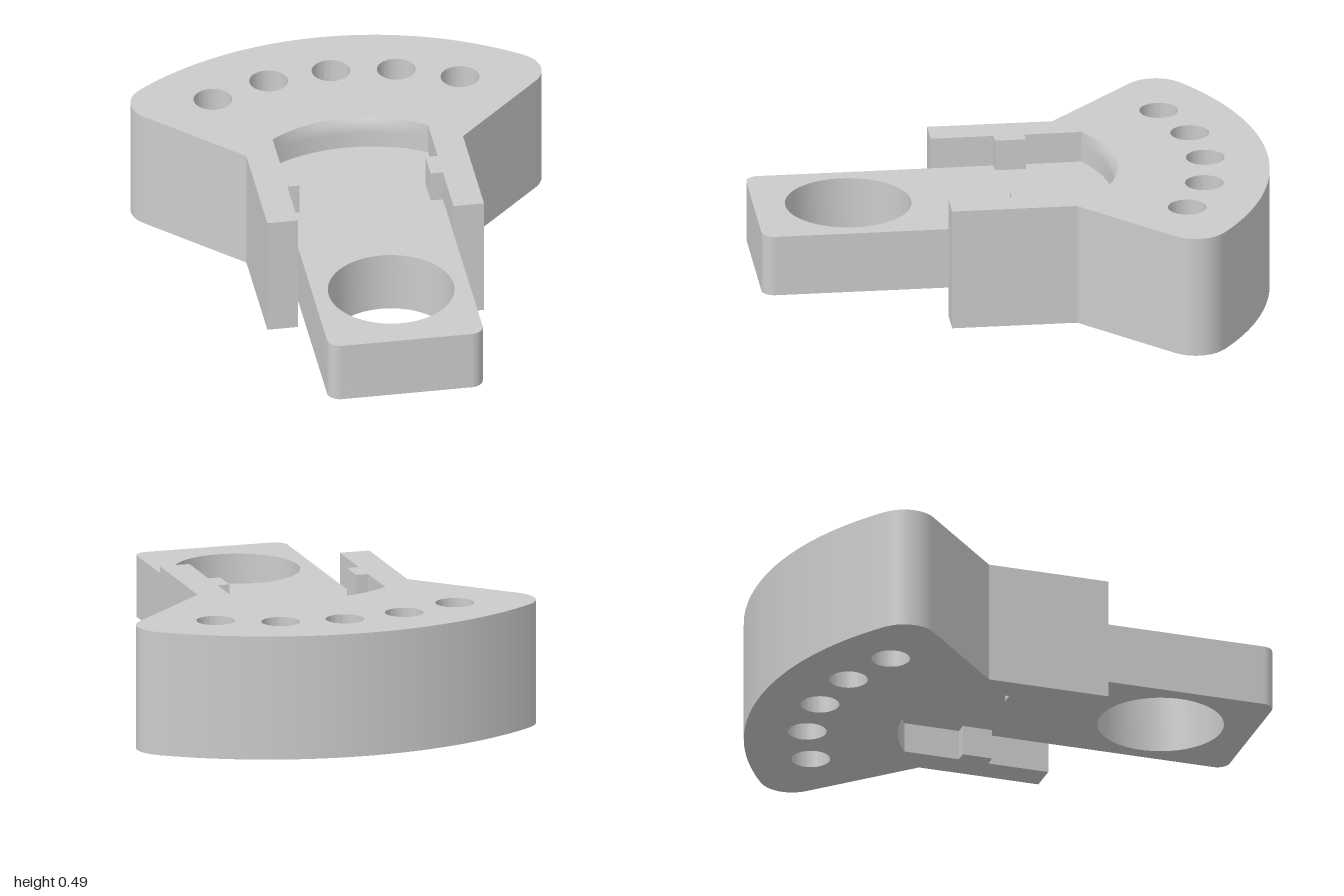
import * as THREE from 'three';
import { toCreasedNormals } from 'three/addons/utils/BufferGeometryUtils.js';

const H = 0.49;             // body height
const POCKET_R = 0.59;      // radius of the pocket's rear wall
const POCKET_Z = 0.195;     // centre of that radius
const POCKET_W = 0.305;     // half width of pocket and tongue
const ROUND_H = 0.06, ROUND_D = 0.02, ROUND_STEPS = 5; // softened pocket edge

const material = new THREE.MeshStandardMaterial({ color: 0xcccccc });

function circleHole(x, z, r) {
  const hole = new THREE.Path();
  hole.absarc(x, -z, r, 0, Math.PI * 2, true);
  return hole;
}

// Extrudes a counter-clockwise plan shape (shape y = -z) upwards from y = 0
function extrudeUp(shape, depth, steps = 1) {
  return new THREE.ExtrudeGeometry(shape, { depth, steps, bevelEnabled: false, curveSegments: 32 })
    .rotateX(-Math.PI / 2);
}

function part(name, geometry) {
  const mesh = new THREE.Mesh(toCreasedNormals(geometry, 0.5), material);
  mesh.name = name;
  return mesh;
}

// Curved rear wall of the pocket, shared by body and tongue
const wallAngle = Math.acos(POCKET_W / POCKET_R);
function addPocketArc(shape, clockwise) {
  const ends = [wallAngle, Math.PI - wallAngle];
  if (clockwise) ends.reverse();
  shape.absarc(0, -POCKET_Z, POCKET_R, ends[0], ends[1], clockwise);
}

// Moves the layers near top and bottom, and curves the pocket wall back there
function roundPocketEdge(geometry, steps) {
  const p = geometry.attributes.position;
  for (let i = 0; i < p.count; i++) {
    const x = p.getX(i), z = p.getZ(i);
    const layer = Math.round(p.getY(i) / H * steps);
    const k = Math.min(layer, steps - layer) / ROUND_STEPS; // 0 at the face, 1 at the flat wall
    p.setY(i, layer < steps / 2 ? ROUND_H * k : H - ROUND_H * k);
    const onWall = z < 0 && Math.abs(Math.hypot(x, z - POCKET_Z) - POCKET_R) < 0.001;
    if (onWall) p.setZ(i, z - ROUND_D * (1 - k) ** 2 * (1 - (x / POCKET_W) ** 2));
  }
}

// Fan-shaped body with two arms, inner tabs and an arc of holes
function fanBody() {
  const a = Math.atan2(0.882, 0.68);
  const s = new THREE.Shape();
  s.moveTo(POCKET_W, -0.277);
  s.lineTo(0.425, -0.277);
  s.lineTo(0.425, 0.21);
  s.absarc(0.68, 0.642, 0.125, -Math.PI / 4, a, false);
  s.absarc(0, -0.24, 1.24, a, Math.PI - a, false);
  s.absarc(-0.68, 0.642, 0.125, Math.PI - a, Math.PI * 1.25, false);
  s.lineTo(-0.425, 0.21);
  s.lineTo(-0.425, -0.277);
  s.lineTo(-POCKET_W, -0.277);
  const tab = [[POCKET_W, -0.032], [0.257, -0.032], [0.257, 0.088], [POCKET_W, 0.088]];
  for (const [x, y] of tab) s.lineTo(-x, y);
  addPocketArc(s, true);
  for (const [x, y] of tab.reverse()) s.lineTo(x, y);
  s.closePath();

  for (const deg of [-29, -14.5, 0, 14.5, 29]) {
    const t = THREE.MathUtils.degToRad(deg);
    s.holes.push(circleHole(Math.sin(t), 0.243 - Math.cos(t), 0.075));
  }

  const steps = ROUND_STEPS * 2 + 1;
  const geometry = extrudeUp(s, H, steps);
  roundPocketEdge(geometry, steps);
  return part('fanBody', geometry);
}

// Flat tongue with a large eye, reaching out of the pocket
function tongue() {
  const r = 0.05, c = POCKET_W - r;
  const s = new THREE.Shape();
  s.absarc(-c, -1 + r, r, Math.PI, Math.PI * 1.5, false);
  s.absarc(c, -1 + r, r, -Math.PI / 2, 0, false);
  addPocketArc(s, false);
  s.closePath();
  s.holes.push(circleHole(0, 0.633, 0.245));
  const mesh = part('tongue', extrudeUp(s, 0.245));
  mesh.position.y = 0.121;
  return mesh;
}

export function createModel() {
  const group = new THREE.Group();
  group.name = 'fanBracket';
  group.add(fanBody(), tongue());
  return group;
}
